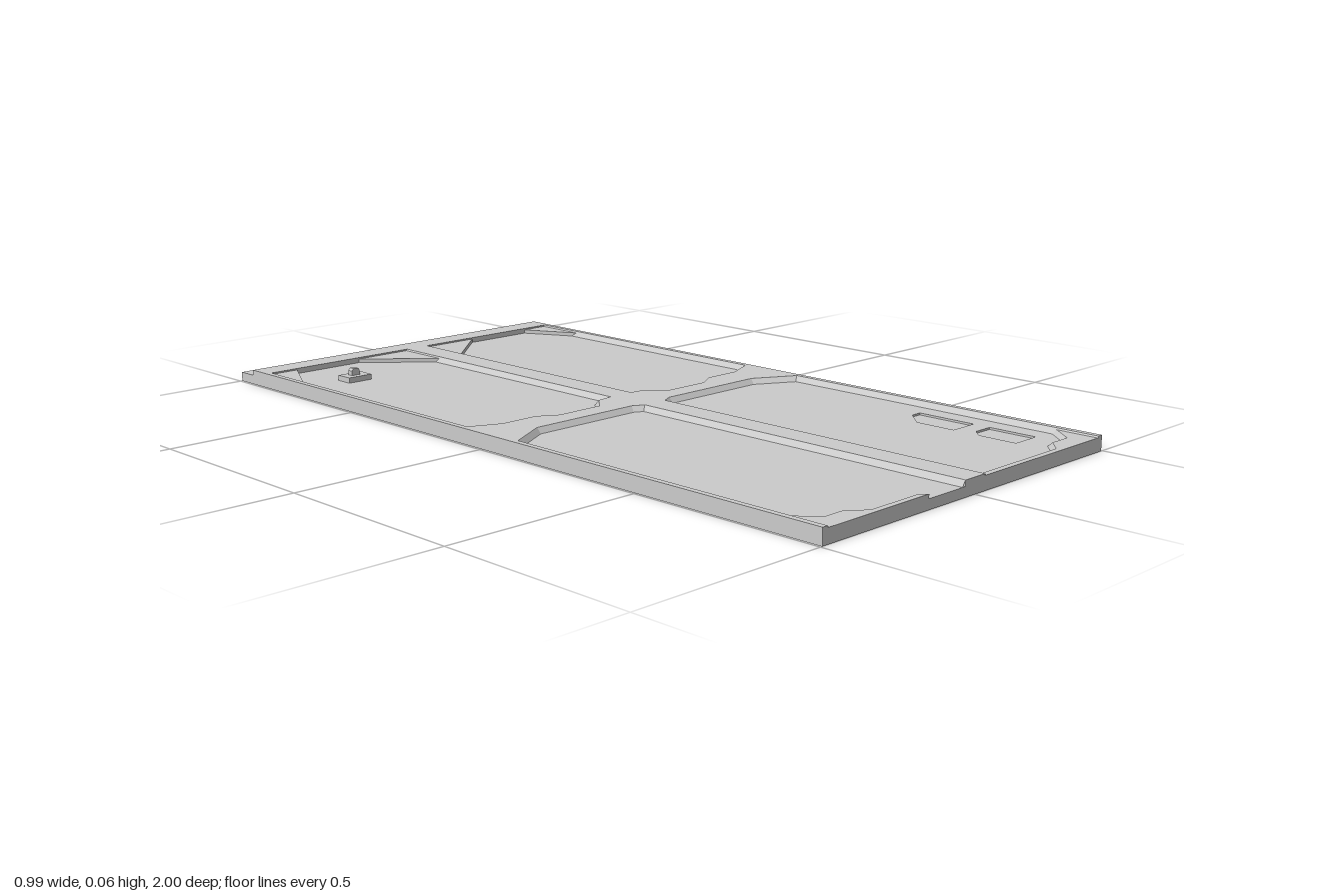
import * as THREE from 'three';

const W = 0.495, FLOOR = 0.024, LOW = 0.034, TOP = 0.038;
const material = new THREE.MeshStandardMaterial({ color: 0xcccccc, flatShading: true, side: THREE.DoubleSide });

// Mirror a list of [x, z] points
const flip = (pts, s) => pts.map(([x, z]) => [x * s, z]);
const toVectors = (pts) => pts.map(([x, z]) => new THREE.Vector2(x, z));

export function createModel() {
  const model = new THREE.Group();
  model.name = 'panel';

  const add = (name, geometry, x = 0, y = 0, z = 0) => {
    const mesh = new THREE.Mesh(geometry, material);
    mesh.name = name;
    mesh.position.set(x, y, z);
    model.add(mesh);
    return mesh;
  };

  // Flat plate with an [x, z] outline, between two heights
  const plate = (name, outline, y0, y1, holes = []) => {
    const shape = new THREE.Shape(toVectors(outline));
    holes.forEach((h) => shape.holes.push(new THREE.Path(toVectors(h))));
    const g = new THREE.ExtrudeGeometry(shape, { depth: y1 - y0, bevelEnabled: false });
    g.rotateX(Math.PI / 2).translate(0, y1, 0);
    return add(name, g);
  };

  // Sloped strip that runs along a path and widens downwards by w
  const slope = (name, path, w, y0, y1, s) => {
    const normal = (a, b) => new THREE.Vector2(a[1] - b[1], b[0] - a[0]).normalize();
    const pos = [], index = [];
    path.forEach((p, i) => {
      const n0 = normal(path[Math.max(i - 1, 0)], path[Math.max(i, 1)]);
      const last = path.length - 1;
      const n1 = normal(path[Math.min(i, last - 1)], path[Math.min(i + 1, last)]);
      const m = n0.clone().add(n1).multiplyScalar(w / (1 + n0.dot(n1)));
      pos.push(p[0] * s, y1, p[1], (p[0] + m.x) * s, y0, p[1] + m.y);
      if (i === last) return;
      const a = i * 2;
      if (w * s > 0) index.push(a, a + 1, a + 2, a + 1, a + 3, a + 2);
      else index.push(a, a + 2, a + 1, a + 1, a + 2, a + 3);
    });
    const g = new THREE.BufferGeometry();
    g.setAttribute('position', new THREE.Float32BufferAttribute(pos, 3));
    g.setIndex(index);
    g.computeVertexNormals();
    add(name, g);
  };

  // Solid base, then the floor sheet with two shallow windows
  add('base', new THREE.BoxGeometry(2 * W, 0.019, 2), 0, 0.0095, 0);
  const window1 = [[0.34, 0.60], [0.39, 0.55], [0.42, 0.55], [0.42, 0.705], [0.34, 0.705]];
  const window2 = [[0.34, 0.775], [0.365, 0.75], [0.42, 0.75], [0.42, 0.875], [0.34, 0.875]];
  plate('floor', [[-W, -1], [W, -1], [W, 1], [-W, 1]], 0.019, FLOOR, [window1, window2]);

  // Raised frame: side rims, centre bar, cross bar and back rail
  const frontPocket = [[0.035, 1], [0.035, 0.065], [0.065, 0.05], [0.37, 0.05], [0.48, 0.11], [0.48, 1]];
  const backPocket = [[0.48, -0.88], [0.48, -0.07], [0.40, -0.035], [0.30, -0.035], [0.25, -0.005],
    [0.12, -0.005], [0.08, -0.05], [0.035, -0.055], [0.035, -0.88]].reverse();
  const outline = [[-W, -0.945], [W, -0.945], [W, 1], ...[...frontPocket].reverse(),
    ...flip(frontPocket, -1), [-W, 1]];
  plate('frame', outline, FLOOR, TOP, [backPocket, flip(backPocket, -1)]);

  const frontEdge = [[0.33, 0.985], [0.37, 0.95], [0.43, 0.95], [0.48, 0.89]];
  for (const s of [1, -1]) {
    slope('frontPocketWall', frontPocket, 0.01, FLOOR, TOP, s);
    slope('backPocketWall', backPocket, -0.01, FLOOR, TOP, s);

    // Lower corner plates at the back of each pocket
    plate('backOuterCorner', flip([[0.48, -0.73], [0.40, -0.88], [0.48, -0.88]], s), FLOOR, LOW);
    plate('backInnerCorner', flip([[0.035, -0.73], [0.20, -0.88], [0.035, -0.88]], s), FLOOR, LOW);

    // Lower front lip, with a gap beside the bar on the right
    const start = s > 0 ? [[0.035, 0.985]] : [[0.16, 1], [0.175, 0.985]];
    const edge = [...start, ...frontEdge];
    const closing = s > 0 ? [[0.48, 1], [0.035, 1]] : [[0.48, 1]];
    plate('frontLip', flip([...edge, ...closing], s), FLOOR, LOW);
    slope('frontLipWall', edge, -0.01, FLOOR, LOW, s);
  }

  // Latch plate with a small rounded knob
  add('latchPlate', new THREE.BoxGeometry(0.07, 0.014, 0.048), -0.335, FLOOR + 0.007, -0.71);
  const knob = new THREE.Shape(toVectors([[-0.0125, 0], [0.0125, 0], [0.0125, 0.014],
    [0.007, 0.02], [-0.007, 0.02], [-0.0125, 0.014]]));
  add('latchKnob', new THREE.ExtrudeGeometry(knob, { depth: 0.016, bevelEnabled: false }), -0.336, 0.036, -0.72);

  return model;
}
